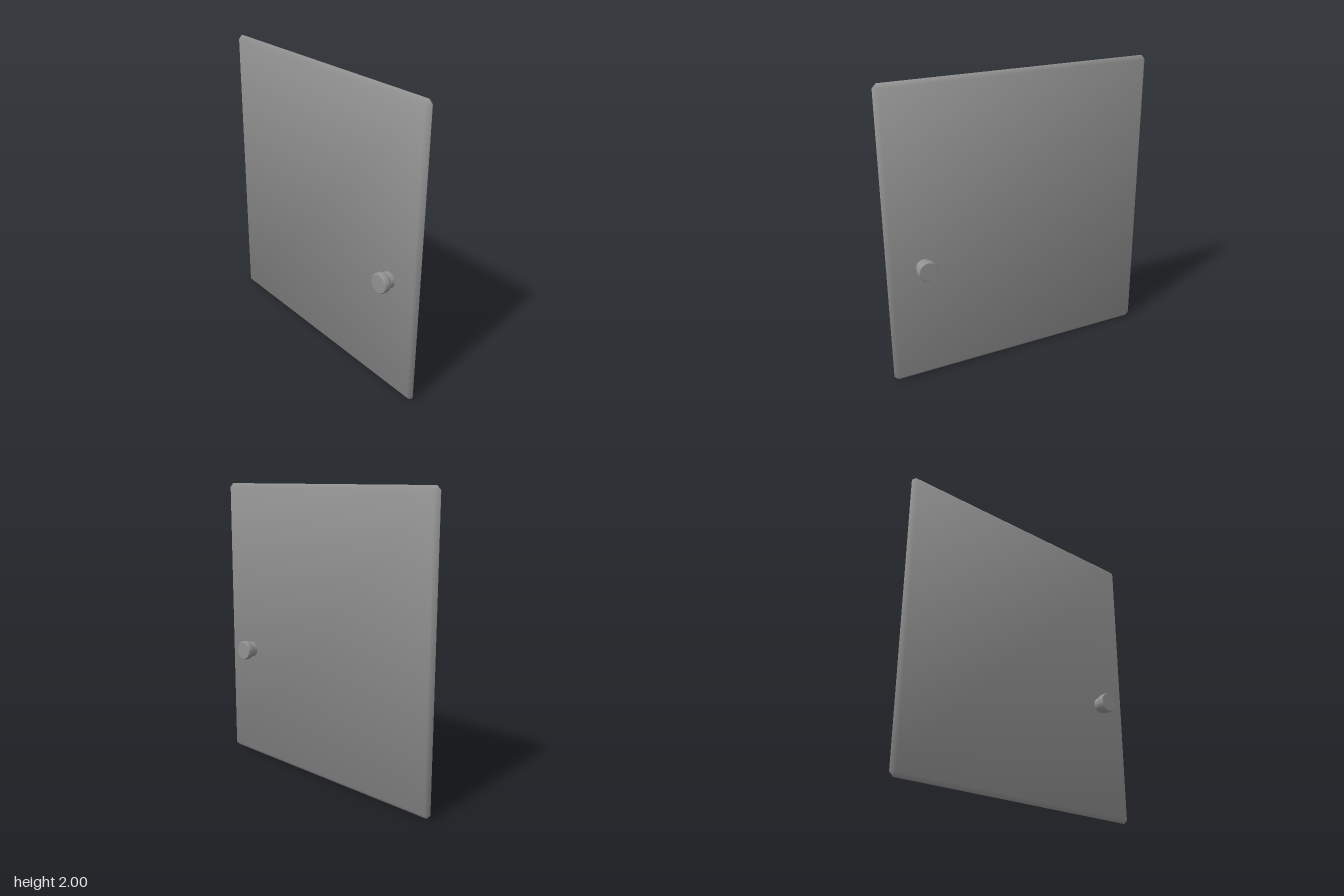
import * as THREE from 'three';

const HALF = [0.026, 1, 0.94]; // panel half sizes
const BEVEL = [0.023, 0.027, 0.027];

// Box with every edge and corner bevelled once; normals lean softly towards the corners.
function bevelledPanel() {
  const position = [], normal = [];

  // Corner vertex belonging to the face that looks along `axis`.
  const corner = (axis, signs) => ({
    p: signs.map((s, i) => s * (HALF[i] - (i === axis ? 0 : BEVEL[i]))),
    n: new THREE.Vector3(...signs.map((s, i) => s * (i === axis ? 2.5 : 1))).normalize(),
  });
  // Triangle turned so that it faces away from the centre.
  const tri = (a, b, c, out) => {
    const [A, B, C] = [a, b, c].map(v => new THREE.Vector3(...v.p));
    const facing = B.sub(A).cross(C.sub(A)).dot(out);
    for (const v of facing > 0 ? [a, b, c] : [a, c, b]) {
      position.push(...v.p);
      normal.push(...v.n.toArray());
    }
  };
  const quad = (a, b, c, d, out) => { tri(a, b, c, out); tri(a, c, d, out); };
  const signsAt = (i, si, j, sj, k, sk) => {
    const s = [];
    s[i] = si; s[j] = sj; s[k] = sk;
    return s;
  };

  for (let i = 0; i < 3; i++) {
    const j = (i + 1) % 3, k = (i + 2) % 3;
    for (const si of [-1, 1]) {
      // Flat face
      const f = (sj, sk) => corner(i, signsAt(i, si, j, sj, k, sk));
      quad(f(1, -si), f(1, si), f(-1, si), f(-1, -si),
        new THREE.Vector3().setComponent(i, si));
      // Bevels between this face and the next axis
      for (const sj of [-1, 1]) {
        const e = (axis, sk) => corner(axis, signsAt(i, si, j, sj, k, sk));
        quad(e(i, -1), e(i, 1), e(j, 1), e(j, -1),
          new THREE.Vector3().setComponent(i, si).setComponent(j, sj));
      }
    }
  }
  // Corner triangles
  for (const x of [-1, 1]) for (const y of [-1, 1]) for (const z of [-1, 1]) {
    const s = [x, y, z];
    tri(corner(0, s), corner(1, s), corner(2, s), new THREE.Vector3(x, y, z));
  }

  const g = new THREE.BufferGeometry();
  g.setAttribute('position', new THREE.Float32BufferAttribute(position, 3));
  g.setAttribute('normal', new THREE.Float32BufferAttribute(normal, 3));
  return g;
}

// Turned knob; repeated points keep an edge crisp.
function knobGeometry() {
  const profile = [
    [0.054, 0], [0.054, 0.058], [0.054, 0.058],
    [0.056, 0.062], [0.062, 0.067], [0.066, 0.072],
    [0.067, 0.08], [0.067, 0.102], [0.065, 0.109], [0.061, 0.113], [0.061, 0.113],
    [0, 0.113],
  ];
  return new THREE.LatheGeometry(profile.map(p => new THREE.Vector2(...p)), 40);
}

export function createModel() {
  const group = new THREE.Group();
  group.name = 'door';
  const material = new THREE.MeshStandardMaterial({ color: 0x919191 });

  const panel = new THREE.Mesh(bevelledPanel(), material);
  panel.name = 'doorPanel';
  panel.position.y = 1;
  group.add(panel);

  // One knob on each side of the panel
  const knob = knobGeometry();
  for (const side of [1, -1]) {
    const mesh = new THREE.Mesh(knob, material);
    mesh.name = side > 0 ? 'leftKnob' : 'rightKnob';
    mesh.rotation.z = -side * Math.PI / 2;
    mesh.position.set(0, 0.804, 0.7);
    group.add(mesh);
  }
  return group;
}
